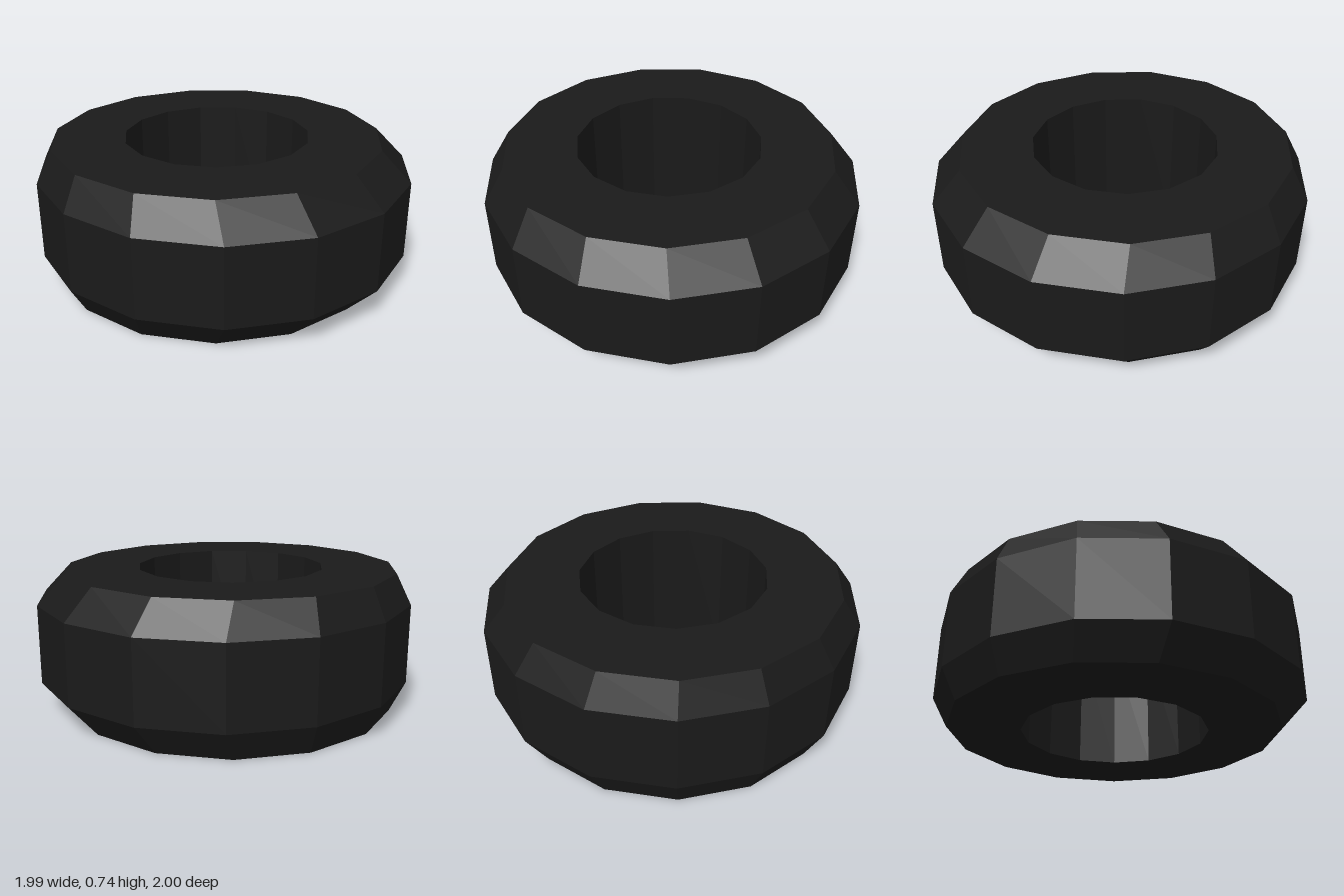
import * as THREE from 'three';

const SIDES = 15;

// Closed section of the ring: [radius, height, sideways shift of that loop]
const SECTION = [
  [0.5, 0, -0.057],
  [0.887, 0, -0.057],
  [1.006, 0.163, -0.016],
  [1.006, 0.58, -0.016],
  [0.887, 0.74, -0.057],
  [0.5, 0.74, -0.057],
  [0.5, 0, -0.057],
];

export function createModel() {
  const group = new THREE.Group();
  group.name = 'tyre';

  // Faceted ring with bevelled shoulders, one corner pointing to +x
  const profile = SECTION.map(([r, y]) => new THREE.Vector2(r, y));
  const geometry = new THREE.LatheGeometry(profile, SIDES, Math.PI / 2);

  // The tread loops sit slightly off the centre of the side walls
  const pos = geometry.attributes.position;
  for (let i = 0; i < pos.count; i++) {
    pos.setX(i, pos.getX(i) + SECTION[i % SECTION.length][2]);
  }
  const faceted = geometry.toNonIndexed();
  faceted.computeVertexNormals();

  const material = new THREE.MeshStandardMaterial({ color: 0x1a1a1a, flatShading: true });
  const ring = new THREE.Mesh(faceted, material);
  ring.name = 'tyreRing';
  group.add(ring);
  return group;
}
